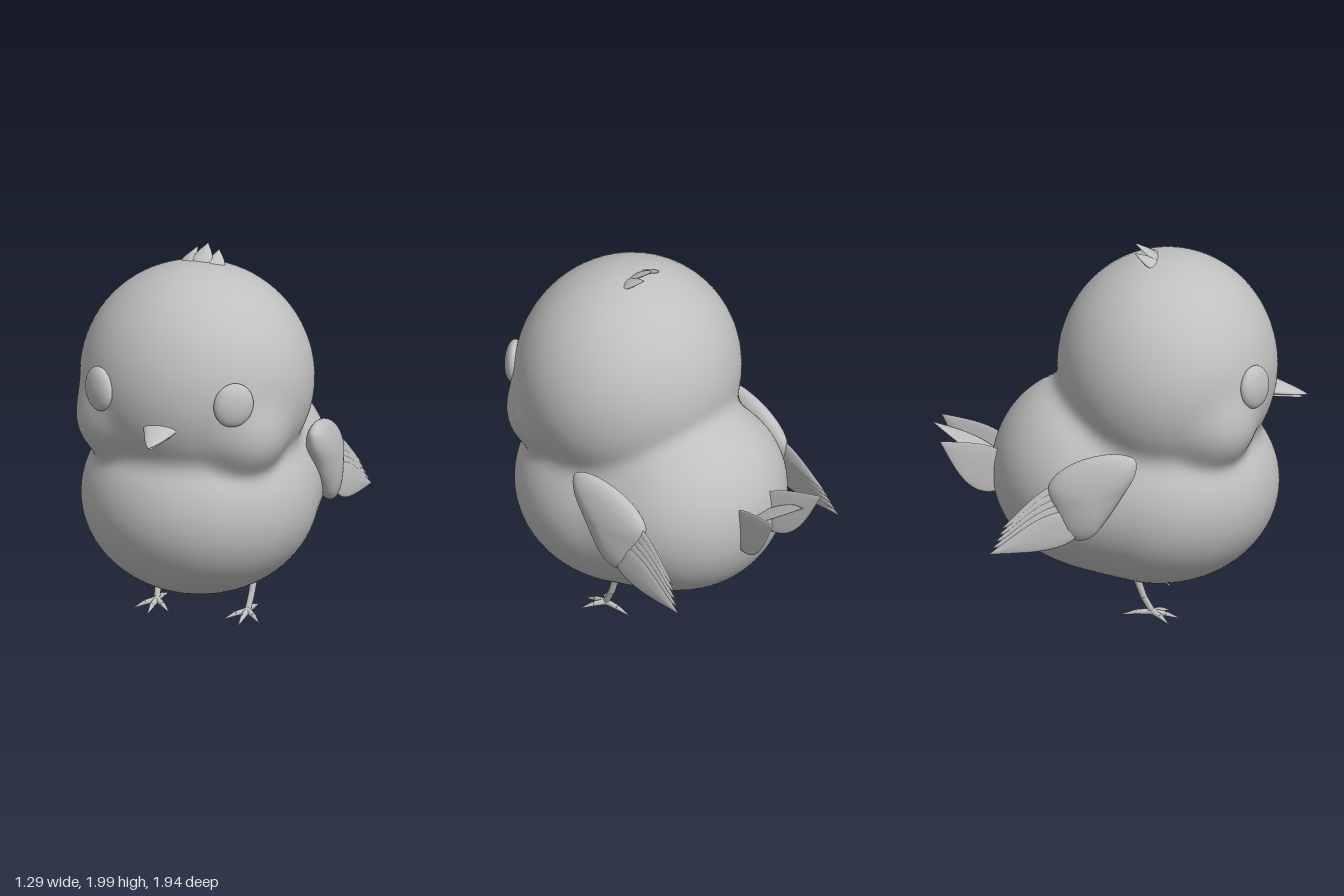
import * as THREE from 'three';
import { mergeVertices } from 'three/addons/utils/BufferGeometryUtils.js';

const V = (x, y, z) => new THREE.Vector3(x, y, z);
const plumage = new THREE.MeshStandardMaterial({ color: 0xc0c0c0 });
plumage.name = 'plain grey';

function part(name, geometry) {
  const m = new THREE.Mesh(geometry, plumage);
  m.name = name;
  return m;
}

// Moves every vertex of a unit sphere by a rule, then smooths it without a seam
function warpSphere(w, h, rule) {
  let g = new THREE.SphereGeometry(1, w, h);
  g.rotateX(Math.PI / 2); // poles on z
  g.deleteAttribute('uv');
  g.deleteAttribute('normal');
  g = mergeVertices(g, 1e-5);
  const p = g.attributes.position, v = V(0, 0, 0);
  for (let i = 0; i < p.count; i++) {
    v.fromBufferAttribute(p, i);
    rule(v);
    p.setXYZ(i, v.x, v.y, v.z);
  }
  g.computeVertexNormals();
  return g;
}

// Lens-shaped pad filling an outline(angle) in the xy plane
function pad(outline, cx, cy, thick, w = 40, h = 12) {
  return warpSphere(w, h, (v) => {
    const s = Math.hypot(v.x, v.y), [ox, oy] = outline(Math.atan2(v.y, v.x));
    v.set(cx + (ox - cx) * s, cy + (oy - cy) * s, v.z * thick);
  });
}

// Pointed feather from a to b, with its flat side towards hint; a lower power is wider near the root
function feather(name, a, b, hint, halfWidth, thick = 0.007, power = 0.65) {
  const len = a.distanceTo(b);
  const leaf = (u) => {
    const t = 1 - Math.abs(u) / Math.PI;
    return [len * t, Math.sign(u) * halfWidth * Math.sin(Math.PI * Math.pow(t, power))];
  };
  const m = part(name, pad(leaf, len * 0.42, 0, thick, 40, 8));
  const x = b.clone().sub(a).normalize();
  const z = hint.clone().addScaledVector(x, -hint.dot(x)).normalize();
  m.quaternion.setFromRotationMatrix(new THREE.Matrix4().makeBasis(x, z.clone().cross(x), z));
  m.position.copy(a);
  return m;
}

// Tapered rod between two points
function rod(name, a, b, ra, rb) {
  const m = part(name, new THREE.CylinderGeometry(rb, ra, a.distanceTo(b), 12));
  m.position.copy(a).lerp(b, 0.5);
  m.quaternion.setFromUnitVectors(V(0, 1, 0), b.clone().sub(a).normalize());
  return m;
}

// Breast, rump, head and cheeks as blended ellipsoids: centre, radii, blend
const masses = [
  [V(0, 0.68, 0.2), V(0.615, 0.525, 0.62), 0],
  [V(0, 0.75, -0.17), V(0.545, 0.505, 0.495), 0.12],
  [V(0, 1.33, 0.242), V(0.612, 0.602, 0.57), 0.08],
  [V(0.355, 1.14, 0.49), V(0.2, 0.205, 0.2), 0.1],
  [V(-0.355, 1.14, 0.49), V(0.2, 0.205, 0.2), 0.1],
];
function bodyField(p) {
  let d = 0;
  masses.forEach(([c, r, k], i) => {
    const q = p.clone().sub(c).divide(r), k0 = q.length();
    const e = (k0 * (k0 - 1)) / Math.max(q.divide(r).length(), 1e-6);
    if (i === 0) { d = e; return; }
    const h = Math.max(k - Math.abs(d - e), 0) / k;
    d = Math.min(d, e) - (h * h * k) / 4;
  });
  return d;
}
function bodyGeometry() {
  const core = V(0, 0.97, 0.13);
  return warpSphere(128, 96, (v) => {
    let lo = 0.15, hi = 1.4;
    for (let i = 0; i < 18; i++) {
      const mid = (lo + hi) / 2;
      if (bodyField(core.clone().addScaledVector(v, mid)) < 0) lo = mid; else hi = mid;
    }
    v.multiplyScalar(lo).add(core);
  });
}

// Half of a beak: a blunt flattened cone pointing from a to b
function beakHalf(name, a, b, rx, ry) {
  const len = a.distanceTo(b), pts = [];
  for (let i = 0; i <= 10; i++) pts.push(new THREE.Vector2(Math.pow(1 - i / 10, 0.75), (i / 10) * len));
  const g = new THREE.LatheGeometry(pts, 32);
  g.scale(rx, 1, ry);
  const m = part(name, g);
  m.rotation.x = Math.PI / 2 - Math.atan2(b.y - a.y, b.z - a.z);
  m.position.copy(a);
  return m;
}

// Wing shoulder, outlined as seen from the side
function wingShoulder() {
  const points = [
    [0.365, 0.85], [0.32, 0.93], [0.21, 1.005], [0.09, 1.045], [-0.01, 1.055], [-0.09, 1.03], [-0.09, 0.95],
    [-0.02, 0.82], [0.06, 0.69], [0.13, 0.6], [0.2, 0.575], [0.27, 0.61], [0.33, 0.73],
  ];
  const curve = new THREE.CatmullRomCurve3(points.map(([x, y]) => V(x - 0.13, y - 0.82, 0)), true);
  const outline = (u) => {
    const p = curve.getPoint((u / (2 * Math.PI) + 1) % 1);
    return [p.x, p.y];
  };
  const m = part('wingShoulder', pad(outline, 0, 0, 0.078, 64, 24));
  m.rotation.set(-0.06, Math.PI / 2 + 0.1, 0, 'YXZ');
  m.position.set(0.568, 0.82, -0.13);
  return m;
}

// Everything that is mirrored, made for the +x side
function sideParts(name) {
  const g = new THREE.Group();
  g.name = name;

  const eye = part('eye', new THREE.SphereGeometry(1, 40, 28));
  eye.scale.set(0.106, 0.117, 0.048);
  eye.rotation.set(-0.04, 0.63, -0.2, 'YXZ');
  eye.position.set(0.37, 1.358, 0.7);
  g.add(eye, wingShoulder());

  // Flight feathers, the lowest one outermost
  for (let i = 0; i < 5; i++) {
    g.add(feather('flightFeather',
      V(0.592 - i * 0.012, 0.7 + i * 0.043, -0.17 - i * 0.012),
      V(0.622 - i * 0.008, 0.51 + i * 0.033, -0.668 + i * 0.017),
      V(1, 0.1, 0.1), 0.092 - i * 0.007, 0.012, 0.6));
  }

  g.add(feather('sideTailFeather', V(0.1, 0.69, -0.56), V(0.185, 0.958, -0.93), V(1, 0, 0.2), 0.122));
  g.add(feather('sideCrestFeather', V(0.09, 1.895, 0.215), V(0.058, 1.968, 0.074), V(0.35, 1, 0.4), 0.043, 0.012));

  // Leg and foot
  const ankle = V(0.25, 0.045, 0.17), knee = V(0.257, 0.13, 0.125);
  g.add(rod('upperLeg', V(0.26, 0.25, 0.085), knee, 0.02, 0.017));
  g.add(rod('lowerLeg', knee, ankle, 0.017, 0.016));
  const tips = [V(0.152, 0.014, 0.255), V(0.25, 0.008, 0.308), V(0.345, 0.014, 0.255), V(0.25, 0.026, 0.008)];
  for (const tip of tips) {
    const mid = ankle.clone().lerp(tip, 0.5);
    mid.y += 0.006;
    g.add(rod('toeBase', ankle, mid, 0.017, 0.013));
    g.add(rod('toeTip', mid, tip, 0.013, 0.002));
  }
  const heel = part('ankle', new THREE.SphereGeometry(0.02, 16, 12));
  heel.position.copy(ankle);
  g.add(heel);
  return g;
}

export function createModel() {
  const bird = new THREE.Group();
  bird.name = 'chick';
  bird.add(part('body', bodyGeometry()));

  bird.add(beakHalf('upperBeak', V(0, 1.222, 0.74), V(0, 1.163, 0.968), 0.11, 0.036));
  bird.add(beakHalf('lowerBeak', V(0, 1.19, 0.74), V(0, 1.148, 0.945), 0.075, 0.022));

  bird.add(feather('middleTailFeather', V(0, 0.74, -0.54), V(0, 0.992, -0.974), V(0, 1, 0), 0.122, 0.007, 0.8));
  bird.add(feather('middleCrestFeather', V(0, 1.9, 0.215), V(0, 1.998, 0.078), V(0, 1, 0.5), 0.053, 0.014));

  const right = sideParts('rightSide');
  right.scale.x = -1;
  bird.add(sideParts('leftSide'), right);
  return bird;
}
